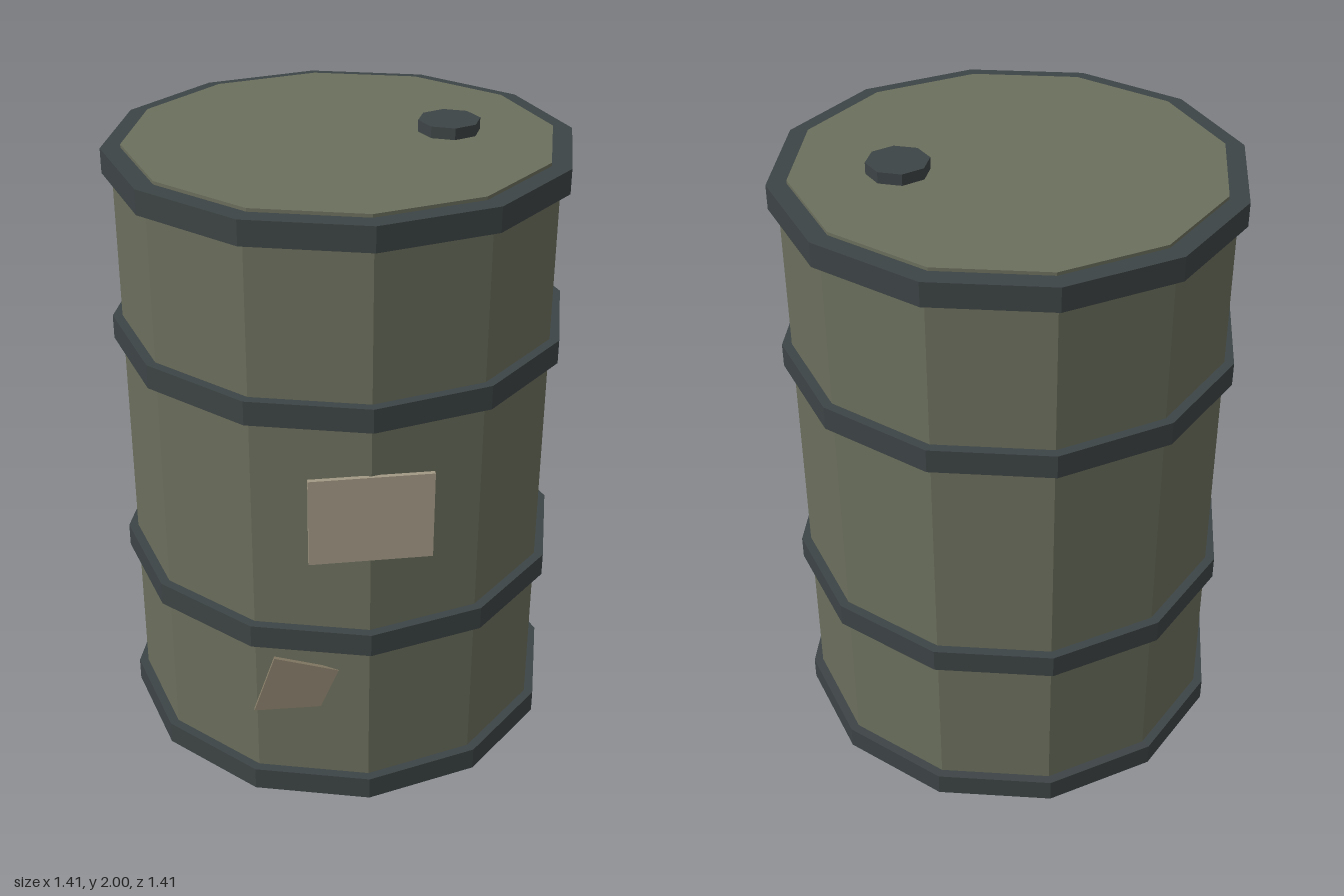
import * as THREE from 'three';

const SIDES = 12;

function paint(color) {
  return new THREE.MeshStandardMaterial({ color, flatShading: true });
}

export function createModel() {
  const model = new THREE.Group();
  model.name = 'barrel';
  const olive = paint(0x6b6f5c);
  const steel = paint(0x3d4445);
  const paper = paint(0xa39885);
  const worn = paint(0x877c68);

  function add(name, geometry, material, x = 0, y = 0, z = 0) {
    const mesh = new THREE.Mesh(geometry, material);
    mesh.name = name;
    mesh.position.set(x, y, z);
    model.add(mesh);
    return mesh;
  }

  // Twelve-sided drum and its slightly raised lid
  add('body', new THREE.CylinderGeometry(0.675, 0.675, 1.95, SIDES), olive, 0, 0.975, 0);
  add('lid', new THREE.CylinderGeometry(0.645, 0.645, 0.025, SIDES), olive, 0, 1.9525, 0);

  // Hoops: a rectangular section turned around the drum
  const section = [[0.64, 0], [0.705, 0], [0.705, 0.075], [0.64, 0.075]]
    .map(([r, y]) => new THREE.Vector2(r, y));
  const hoop = new THREE.LatheGeometry(section, SIDES);
  const hoops = { bottomHoop: 0.02, lowerHoop: 0.58, upperHoop: 1.345, topHoop: 1.88 };
  for (const [name, y] of Object.entries(hoops)) add(name, hoop, steel, 0, y, 0);

  // Octagonal filler cap on the lid
  add('fillerCap', new THREE.CylinderGeometry(0.094, 0.094, 0.04, 8), steel, 0.327, 1.98, 0);

  // Flat label plate on the front
  add('label', new THREE.BoxGeometry(0.365, 0.28, 0.014), paper, 0, 1.05, 0.676);

  // Crooked patch low on the front, right of centre
  const outline = new THREE.Shape([[-0.13, -0.095], [0.075, -0.09], [0.13, 0.045], [-0.065, 0.1]]
    .map(([x, y]) => new THREE.Vector2(x, y)));
  const patch = new THREE.ExtrudeGeometry(outline, { depth: 0.012, bevelEnabled: false });
  add('patch', patch, worn, -0.22, 0.45, 0.633).rotation.y = -0.06;

  return model;
}
